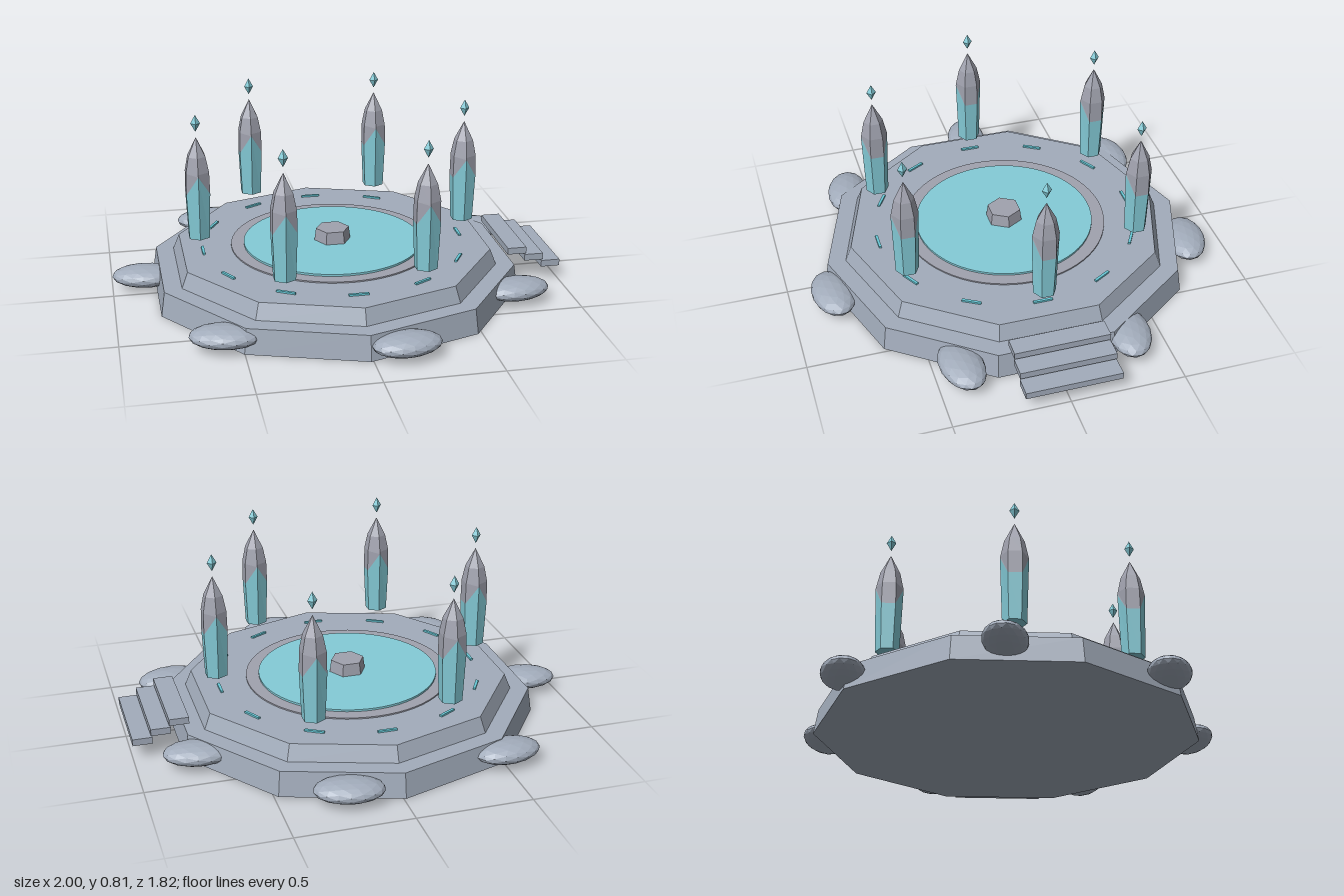
import * as THREE from 'three';

const mat = (name, color, flatShading = false) => {
  const m = new THREE.MeshStandardMaterial({ color, flatShading });
  m.name = name;
  return m;
};

export function createModel() {
  const stone = mat('blue grey stone', 0xa2acbb, true);
  const trim = mat('warm grey stone', 0xa0a2ae, true);
  const aqua = mat('aqua glow', 0x84cbd7, true);
  const rune = mat('bright aqua', 0x68c8d6, true);

  const model = new THREE.Group();
  model.name = 'crystalShrine';
  const plaza = new THREE.Group();
  plaza.name = 'plaza';
  plaza.position.set(-0.01, 0, -0.012);
  model.add(plaza);

  const add = (parent, name, geometry, material, x = 0, y = 0, z = 0) => {
    const mesh = new THREE.Mesh(geometry, material);
    mesh.name = name;
    mesh.position.set(x, y, z);
    parent.add(mesh);
    return mesh;
  };
  // Tapered prism standing between heights y0 and y1
  const prism = (name, rTop, rBottom, y0, y1, sides, material) =>
    add(plaza, name, new THREE.CylinderGeometry(rTop, rBottom, y1 - y0, sides), material, 0, (y0 + y1) / 2);

  // Ten-sided platform, pool and central pedestal
  prism('lowerTier', 0.82, 0.837, 0, 0.11, 10, stone);
  prism('upperTier', 0.71, 0.738, 0.11, 0.18, 10, stone);
  prism('poolRim', 0.457, 0.457, 0.178, 0.186, 64, trim);
  prism('pool', 0.4, 0.4, 0.18, 0.195, 64, aqua);
  prism('pedestal', 0.075, 0.083, 0.19, 0.25, 6, trim).rotation.y = Math.PI / 6;

  // Twelve glowing dashes around the pool
  for (let i = 0; i < 12; i++) {
    const a = (i * Math.PI) / 6;
    const dash = add(plaza, 'glowDash', new THREE.BoxGeometry(0.085, 0.01, 0.012), rune,
      Math.sin(a) * 0.585, 0.183, Math.cos(a) * 0.585);
    dash.rotation.y = a;
  }

  // Six-sided crystal section; the seam ring (y = 0.55) dips towards the sides
  const crystal = (profile) => {
    const g = new THREE.LatheGeometry(profile.map(([r, y]) => new THREE.Vector2(r, y)), 6);
    const p = g.attributes.position;
    for (let i = 0; i < p.count; i++) {
      if (Math.abs(p.getY(i) - 0.55) > 0.001) continue;
      const a = Math.atan2(p.getX(i), p.getZ(i));
      p.setY(i, 0.55 - 0.12 * Math.sin(a) ** 2);
    }
    g.computeVertexNormals();
    return g;
  };
  const shaft = crystal([[0, 0.253], [0.051, 0.253], [0.06, 0.55]]);
  const cap = crystal([[0.06, 0.55], [0.058, 0.56], [0.043, 0.63], [0, 0.715]]);
  const shard = new THREE.OctahedronGeometry(1).scale(0.021, 0.038, 0.021);

  // Six floating pillars, each with a small shard above it
  for (let i = 0; i < 6; i++) {
    const a = (i * Math.PI) / 3;
    const pillar = new THREE.Group();
    pillar.name = 'floatingPillar';
    pillar.position.set(Math.cos(a) * 0.6, 0, Math.sin(a) * 0.6);
    plaza.add(pillar);
    add(pillar, 'pillarShaft', shaft, aqua);
    add(pillar, 'pillarCap', cap, trim);
    add(pillar, 'shard', shard, aqua, 0, 0.777, 0);
  }

  // Three floating steps on the left side
  for (let i = 0; i < 3; i++) {
    add(model, 'step', new THREE.BoxGeometry(0.086, 0.03, 0.417), stone,
      0.797 + i * 0.08, 0.155 - i * 0.036, -0.014);
  }

  // Boulders around the base: x, z, turn
  const boulder = new THREE.IcosahedronGeometry(1, 2).scale(0.148, 0.046, 0.092);
  const boulders = [
    [0.22, -0.815, -0.2], [-0.51, -0.695, 0.1], [-0.853, -0.06, -0.15], [-0.575, 0.61, -0.2],
    [0.14, 0.815, 0.12], [0.735, 0.39, 0.15], [0.745, -0.345, -0.15],
  ];
  for (const [x, z, turn] of boulders) {
    add(model, 'boulder', boulder, stone, x, 0.064, z).rotation.y = turn;
  }

  return model;
}
